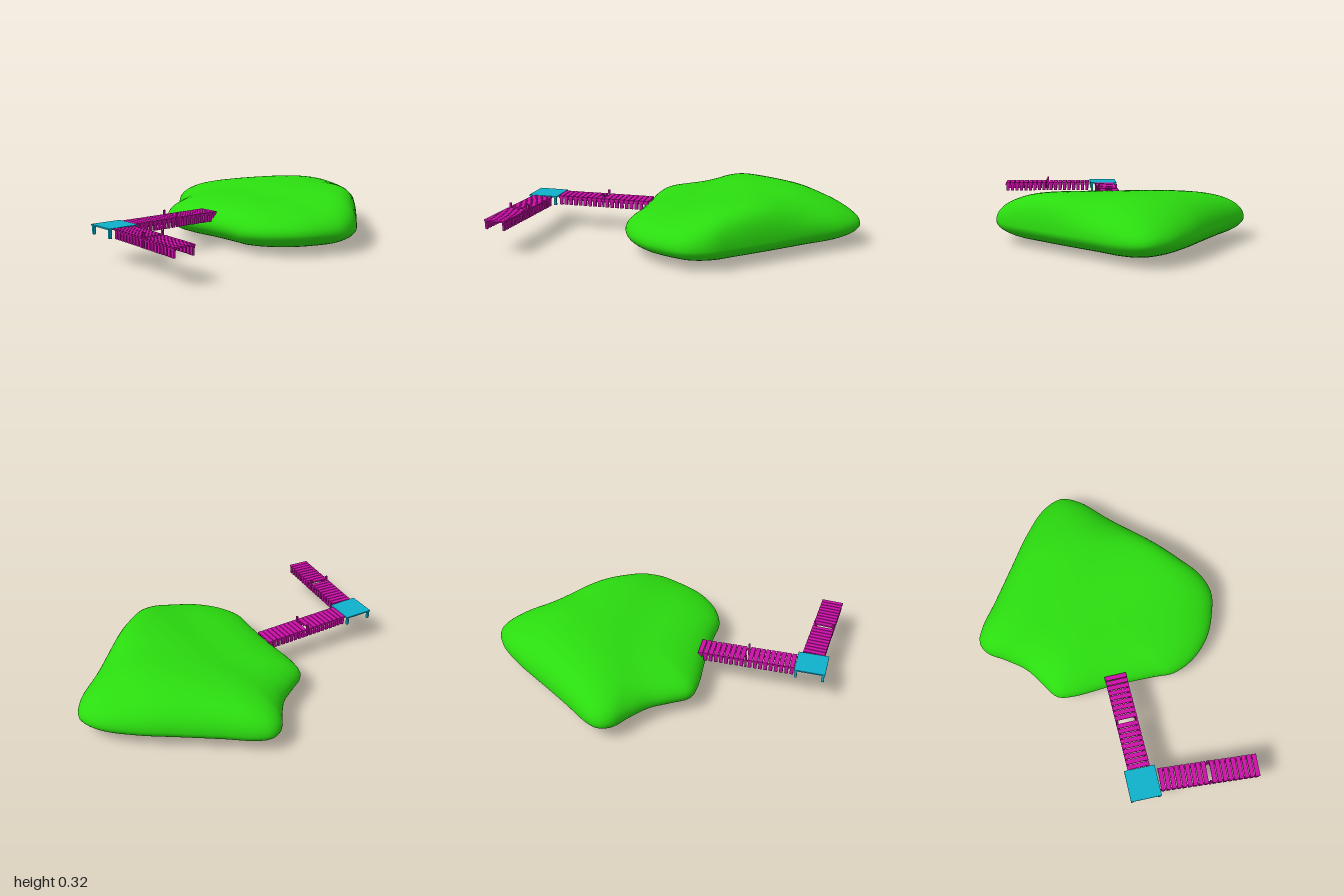
import * as THREE from 'three';

const paint = (color) => new THREE.MeshStandardMaterial({ color });
const GREEN = paint(0x2bdc0f), MAGENTA = paint(0xcc0fa8), CYAN = paint(0x0fb0cc);

function box(parent, name, mat, [w, h, d], [x, y, z]) {
  const m = new THREE.Mesh(new THREE.BoxGeometry(w, h, d), mat);
  m.name = name;
  m.position.set(x, y, z);
  parent.add(m);
}

// Piecewise-linear lookup in [x, value] pairs, softened at the joints
function lookup(table, x) {
  const at = (v) => {
    let i = 1;
    while (i < table.length - 1 && v > table[i][0]) i++;
    const [x0, y0] = table[i - 1], [x1, y1] = table[i];
    return THREE.MathUtils.lerp(y0, y1, THREE.MathUtils.clamp((v - x0) / (x1 - x0), 0, 1));
  };
  return (at(x - 0.05) + at(x) + at(x + 0.05)) / 3;
}

// Shoreline seen from above (x, z)
const SHORE = [
  [1, -0.04], [0.95, -0.16], [0.8, -0.3], [0.6, -0.44], [0.4, -0.58], [0.25, -0.69],
  [0.17, -0.72], [0.1, -0.69], [0.03, -0.59], [-0.06, -0.48], [-0.18, -0.4], [-0.265, -0.34],
  [-0.283, -0.25], [-0.272, 0], [-0.275, 0.25], [-0.28, 0.36], [-0.22, 0.5], [-0.1, 0.62],
  [0.05, 0.69], [0.16, 0.715], [0.28, 0.68], [0.4, 0.58], [0.6, 0.4], [0.8, 0.21], [0.95, 0.07],
];
// Ground height along x
const HEIGHT = [[-0.3, 0.243], [-0.1, 0.258], [0.1, 0.272], [0.3, 0.308], [0.45, 0.32],
  [0.62, 0.324], [0.8, 0.293], [0.9, 0.277], [1, 0.25]];

// Rounded island: rings run from the top centre over the shore to the bottom centre
function island() {
  const curve = new THREE.CatmullRomCurve3(SHORE.map(([x, z]) => new THREE.Vector3(x, 0, z)), true);
  const N = 120, R = 48, CX = 0.2, RIM = 0.125;
  const edge = curve.getSpacedPoints(N);
  const pos = [], idx = [];
  for (let j = 0; j <= R; j++) {
    const t = (j / R) * Math.PI, s = Math.sin(t);
    for (let i = 0; i < N; i++) {
      const e = edge[i], x = CX + (e.x - CX) * s, z = e.z * s;
      let y;
      if (j <= R / 2) {
        // the front right bank is steeper than the others
        const a = Math.atan2(e.z, e.x - CX) - 1.05;
        const n = 4 + 7 * Math.exp(-a * a / 0.16);
        y = RIM + (lookup(HEIGHT, x) - RIM) * Math.sqrt(Math.max(0, 1 - s ** n));
      } else {
        y = RIM - (RIM - 0.004) * Math.sqrt(Math.max(0, 1 - s ** 3.5));
      }
      pos.push(x, y, z);
    }
  }
  for (let j = 0; j < R; j++) for (let i = 0; i < N; i++) {
    const k = (i + 1) % N;
    const a = j * N + i, b = j * N + k, c = a + N, d = b + N;
    if (j > 0) idx.push(a, b, c);
    if (j < R - 1) idx.push(b, d, c);
  }
  const g = new THREE.BufferGeometry();
  g.setAttribute('position', new THREE.Float32BufferAttribute(pos, 3));
  // order the corners so that faces look outwards
  for (let i = 0; i < idx.length; i += 3) {
    const [a, b, c] = [0, 1, 2].map((q) => new THREE.Vector3().fromArray(pos, idx[i + q] * 3));
    const mid = a.clone().add(b).add(c).divideScalar(3).sub(new THREE.Vector3(CX, RIM, 0));
    if (b.sub(a).cross(c.sub(a)).dot(mid) < 0) [idx[i + 1], idx[i + 2]] = [idx[i + 2], idx[i + 1]];
  }
  g.setIndex(idx);
  g.computeVertexNormals();
  const m = new THREE.Mesh(g, GREEN);
  m.name = 'island';
  return m;
}

// Walkway along local +x: two runs of planks on legs, with tall posts between
function walkway(name) {
  const g = new THREE.Group();
  g.name = name;
  const pitch = 0.0305, half = 9 * pitch, gap = 0.018;
  for (const start of [0, half + gap]) {
    for (let i = 0; i < 9; i++) {
      const x = start + (i + 0.5) * pitch;
      box(g, 'plank', MAGENTA, [0.026, 0.009, 0.128], [x, 0.2, 0]);
      for (const s of [-1, 1]) box(g, 'plankLeg', MAGENTA, [0.02, 0.047, 0.012], [x, 0.173, s * 0.054]);
    }
  }
  for (const s of [-1, 1]) {
    box(g, 'rail', MAGENTA, [2 * half + gap, 0.008, 0.008], [half + gap / 2, 0.191, s * 0.054]);
    box(g, 'tallPost', MAGENTA, [0.011, 0.08, 0.011], [half + gap / 2, 0.19, s * 0.056]);
  }
  return g;
}

// Square landing on four legs
function landing() {
  const g = new THREE.Group();
  g.name = 'landing';
  box(g, 'deck', CYAN, [0.178, 0.008, 0.176], [0, 0.201, 0]);
  for (const x of [-1, 1]) for (const z of [-1, 1]) {
    box(g, 'landingLeg', CYAN, [0.014, 0.05, 0.014], [x * 0.078, 0.175, z * 0.078]);
  }
  return g;
}

export function createModel() {
  const model = new THREE.Group();
  model.name = 'islandWithDock';
  const deck = landing();
  deck.position.set(-0.89, 0, 0.016);
  deck.rotation.y = -0.02;
  const inner = walkway('innerWalkway');
  inner.position.set(-0.8, 0, 0.015);
  const outer = walkway('outerWalkway');
  outer.position.set(-0.89, 0, 0.11);
  outer.rotation.y = -(Math.PI / 2 + 0.084);
  model.add(island(), deck, inner, outer);
  return model;
}
